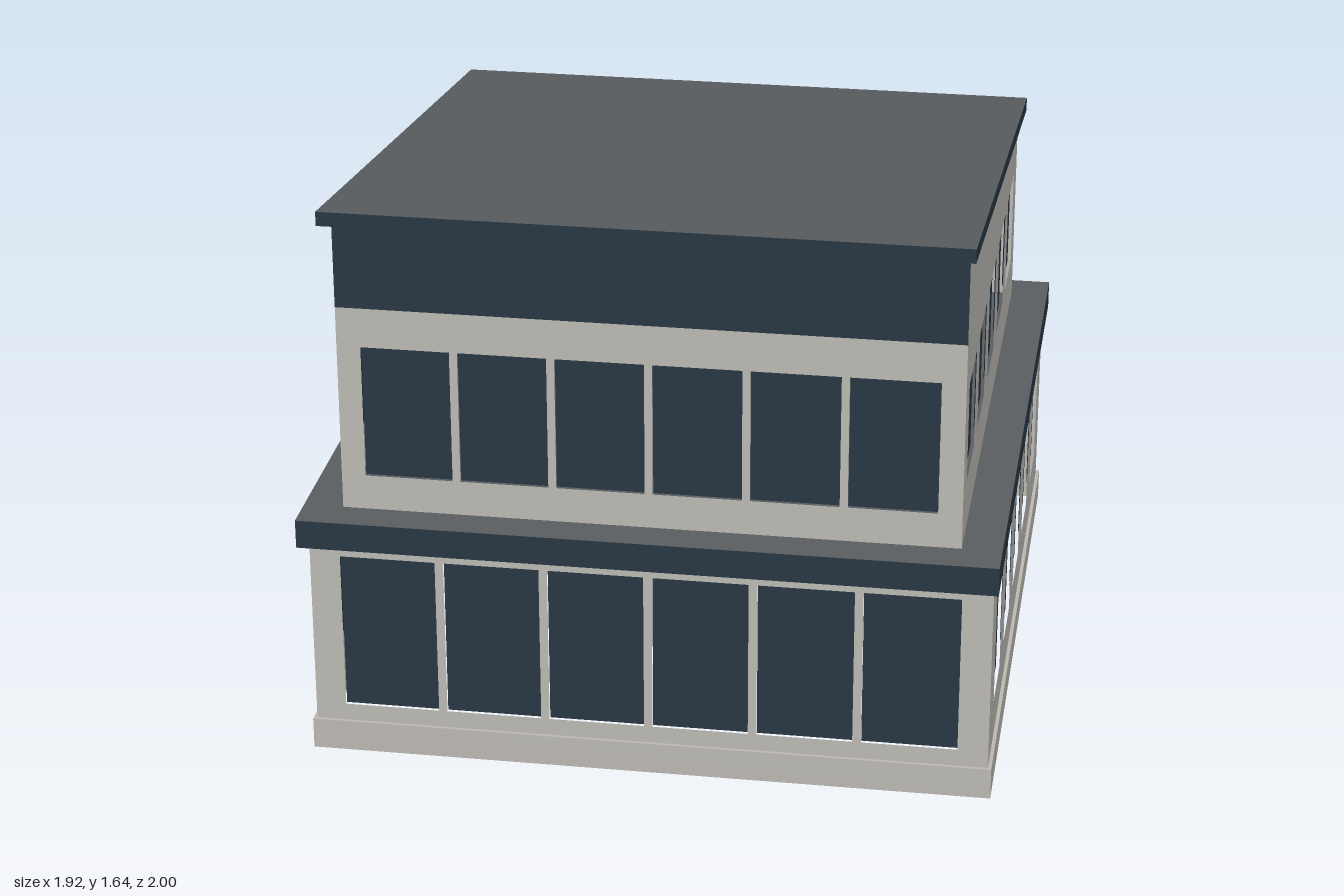
import * as THREE from 'three';

const mat = (name, color, side = THREE.FrontSide) => {
  const m = new THREE.MeshStandardMaterial({ color, side });
  m.name = name;
  return m;
};

const rect = (Type, x0, x1, y0, y1) => {
  const p = new Type();
  p.moveTo(x0, y0);
  p.lineTo(x1, y0);
  p.lineTo(x1, y1);
  p.lineTo(x0, y1);
  p.closePath();
  return p;
};

// Evenly spaced openings: [x0, x1, y0, y1]
const row = (count, centre, pitch, width, y0, y1) =>
  Array.from({ length: count }, (_, i) => {
    const c = centre + (i - (count - 1) / 2) * pitch;
    return [c - width / 2, c + width / 2, y0, y1];
  });

export function createModel() {
  const model = new THREE.Group();
  model.name = 'building';
  const wallMat = mat('wall', 0xbcb9b3, THREE.DoubleSide);
  const navy = mat('navyTrimAndGlass', 0x283743, THREE.DoubleSide);
  const roofMat = mat('roofing', 0x5a5e61);
  const soffit = mat('soffit', 0xa8a29e);
  const doorMat = mat('door', 0x626065, THREE.DoubleSide);

  const add = (parent, geometry, material, name) => {
    const mesh = new THREE.Mesh(geometry, material);
    mesh.name = name;
    parent.add(mesh);
    return mesh;
  };

  // Thin wall with openings, each filled by a recessed panel
  const wall = (name, outline, openings, panelMat, panelName) => {
    const g = new THREE.Group();
    g.name = name;
    const shape = new THREE.Shape(outline.map(([x, y]) => new THREE.Vector2(x, y)));
    for (const o of openings) {
      shape.holes.push(rect(THREE.Path, ...o));
      add(g, new THREE.ShapeGeometry(rect(THREE.Shape, ...o)), panelMat, panelName).position.z = -0.01;
    }
    add(g, new THREE.ShapeGeometry(shape), wallMat, name + 'Surface');
    model.add(g);
    return g;
  };

  // Four walls of one storey; side walls may have a sloping top
  const storey = (name, s) => {
    const { hw, zf, zb, y0, yFront, ySideFront, yBack } = s;
    const box = (top) => [[-hw, y0], [hw, y0], [hw, top], [-hw, top]];
    wall(name + 'FrontWall', box(yFront), s.front, navy, 'window').position.z = zf;
    const back = wall(name + 'BackWall', box(yBack), s.back, doorMat, 'door');
    back.rotation.y = Math.PI;
    back.position.z = zb;
    for (const side of [1, -1]) {
      const outline = [[zb, y0], [zf, y0], [zf, ySideFront], [zb, yBack]].map(([z, y]) => [-side * z, y]);
      const openings = s.side.map(([a, b, c, d]) => (side > 0 ? [-b, -a, c, d] : [a, b, c, d]));
      const g = wall(name + (side > 0 ? 'LeftWall' : 'RightWall'), outline, openings, navy, 'window');
      g.rotation.y = side * Math.PI / 2;
      g.position.x = side * hw;
    }
  };

  storey('lower', {
    hw: 0.943, zf: 0.926, zb: -0.98, y0: 0.09, yFront: 0.66, ySideFront: 0.66, yBack: 0.66,
    front: row(6, 0, 0.29, 0.266, 0.14, 0.602),
    side: row(5, -0.031, 0.351, 0.207, 0.215, 0.565),
    back: [[-0.1, 0.1, 0.1, 0.46]],
  });
  storey('upper', {
    hw: 0.85, zf: 0.896, zb: -0.896, y0: 0.74, yFront: 1.335, ySideFront: 1.586, yBack: 1.333,
    front: row(6, 0, 0.265, 0.243, 0.84, 1.222),
    side: row(5, 0, 0.338, 0.228, 0.89, 1.176),
    back: [],
  });

  // Dark panel above the upper front windows
  add(model, new THREE.ShapeGeometry(rect(THREE.Shape, -0.85, 0.85, 1.335, 1.586)), navy, 'frontFascia').position.z = 0.896;

  // Hollow base course
  const plinth = rect(THREE.Shape, -0.953, 0.953, -0.936, 0.992);
  plinth.holes.push(rect(THREE.Path, -0.943, 0.943, -0.926, 0.98));
  const base = new THREE.ExtrudeGeometry(plinth, { depth: 0.09, bevelEnabled: false });
  base.rotateX(-Math.PI / 2);
  add(model, base, wallMat, 'baseCourse');

  // Slab roofs: navy edges, grey top, soffit below
  const slabMats = [navy, navy, roofMat, soffit, navy, navy];
  add(model, new THREE.BoxGeometry(1.92, 0.082, 2), slabMats, 'middleRoofBand').position.y = 0.699;

  const roof = new THREE.BoxGeometry(1.74, 0.04, 1.955);
  const p = roof.attributes.position;
  for (let i = 0; i < p.count; i++) p.setY(i, p.getY(i) + 0.145 * p.getZ(i));
  roof.computeVertexNormals();
  add(model, roof, slabMats, 'slopingRoof').position.set(0, 1.479, 0.002);

  return model;
}
